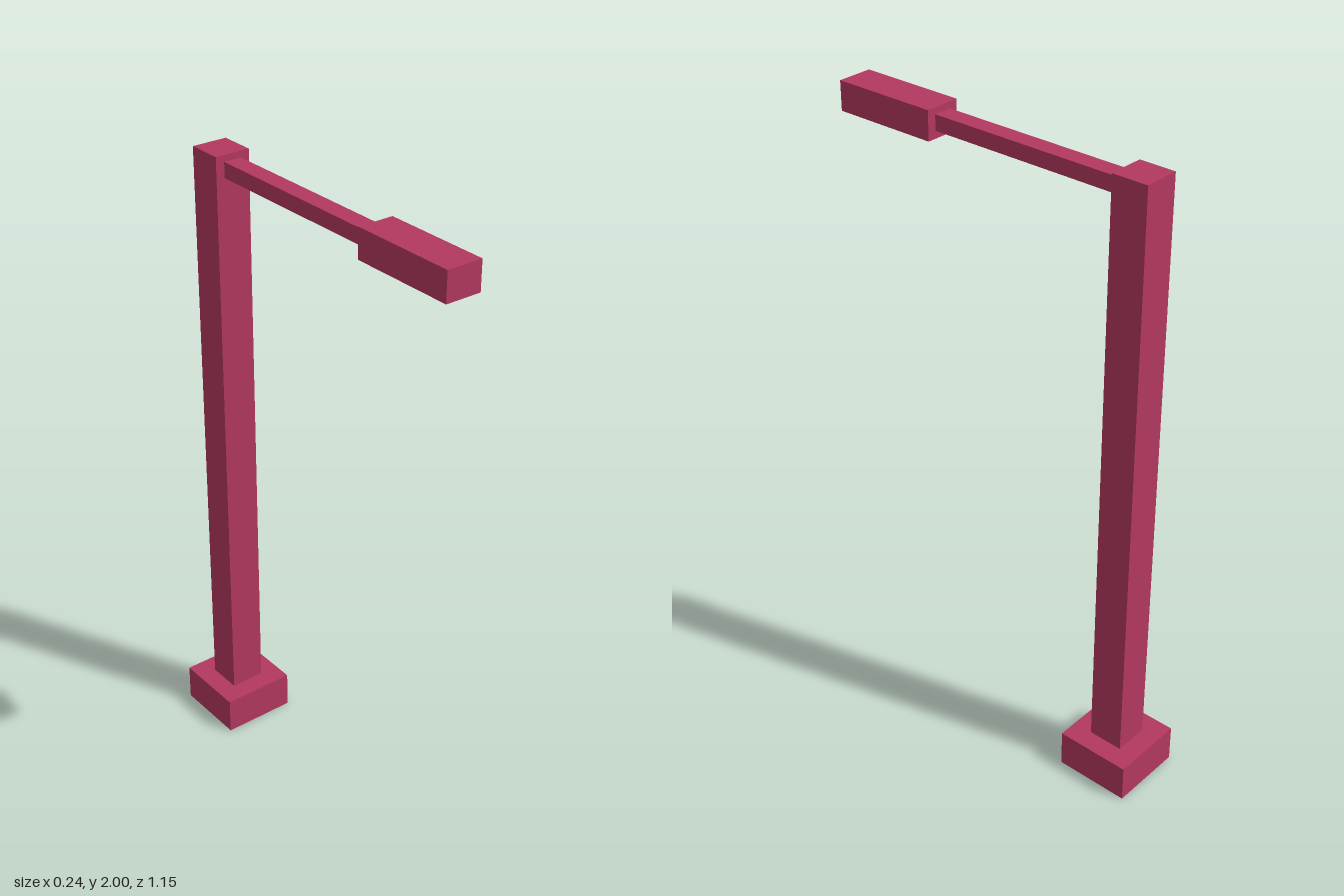
import * as THREE from 'three';

const material = new THREE.MeshStandardMaterial({ color: 0xb3385f, flatShading: true, side: THREE.DoubleSide });

// Box given by its width (centred on x) and its y and z ranges
function block(name, width, [y0, y1], [z0, z1]) {
  const geometry = new THREE.BoxGeometry(width, y1 - y0, z1 - z0);
  const mesh = new THREE.Mesh(geometry, material);
  mesh.position.set(0, (y0 + y1) / 2, (z0 + z1) / 2);
  mesh.name = name;
  return mesh;
}

export function createModel() {
  const model = new THREE.Group();
  model.name = 'streetLamp';

  // Hollow foot: a box without its bottom face
  const base = block('base', 0.242, [0, 0.121], [-0.577, -0.335]);
  const index = Array.from(base.geometry.index.array);
  index.splice(18, 6);
  base.geometry.setIndex(index);
  base.geometry.clearGroups();

  // Post, arm and lamp head with the light panel beneath it
  model.add(
    base,
    block('post', 0.114, [0.121, 2], [-0.513, -0.399]),
    block('arm', 0.058, [1.932, 1.98], [-0.399, 0.235]),
    block('lampHead', 0.114, [1.909, 2], [0.235, 0.577]),
    block('lightPanel', 0.074, [1.9, 1.909], [0.258, 0.555])
  );
  return model;
}
